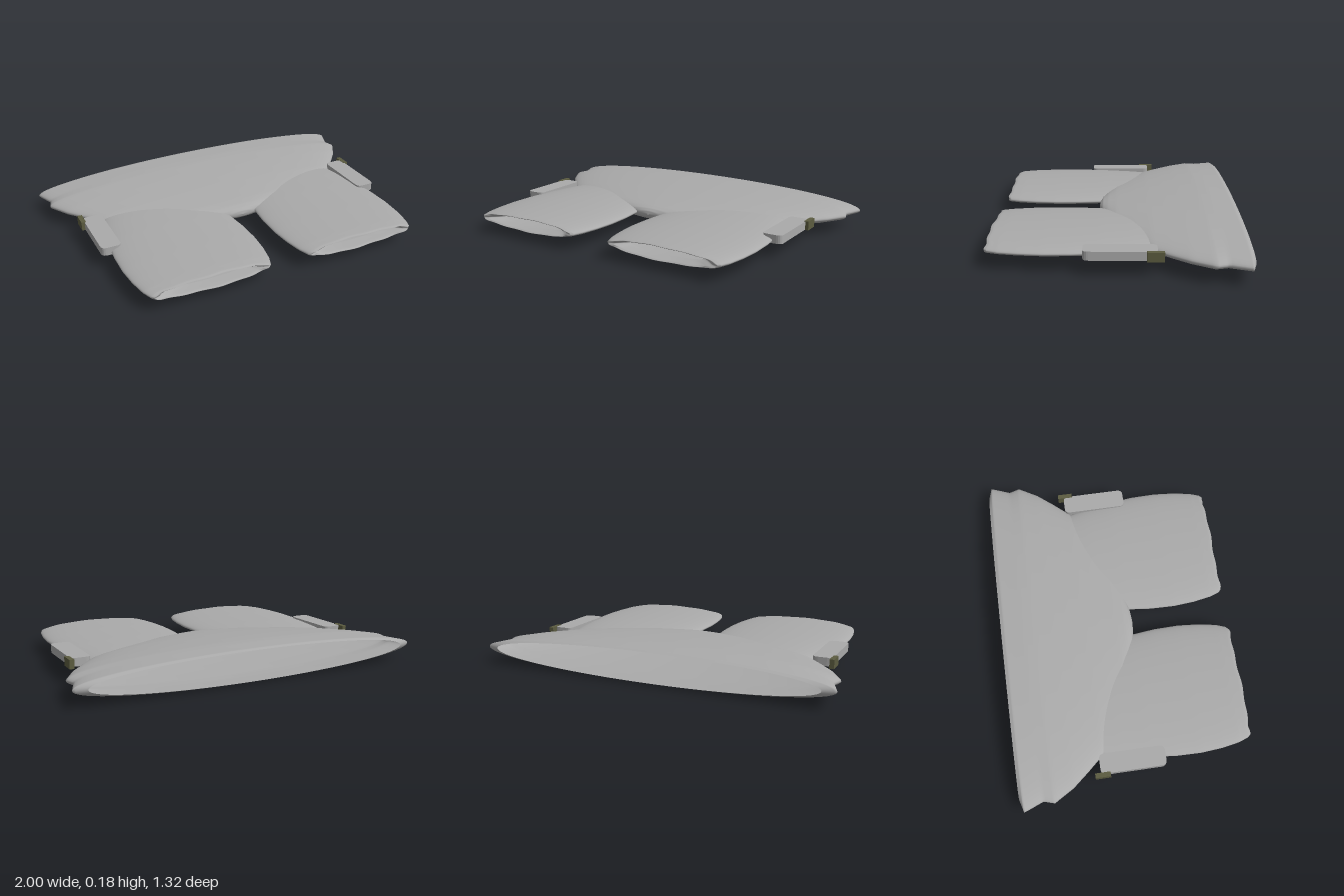
import * as THREE from 'three';

const SIDES = 80;
const MID_Y = 0.094;

// Open tube through elliptical sections [z, centreX, halfWidth, halfHeight], smoothed along its length
function loft(sections, { steps = 5, ripple = null, skip = null } = {}) {
  const rows = [];
  const lerp = THREE.MathUtils.lerp;
  for (let i = 0; i < sections.length - 1; i++) {
    for (let s = 0; s < steps; s++) {
      rows.push(sections[i].map((v, k) => lerp(v, sections[i + 1][k], s / steps)));
    }
  }
  rows.push(sections[sections.length - 1]);

  const pos = [];
  for (const [z, cx, w, h] of rows) {
    for (let j = 0; j < SIDES; j++) {
      const a = (j / SIDES) * Math.PI * 2;
      const x = cx + w * Math.cos(a);
      pos.push(x, MID_Y + h * Math.sin(a), z + (ripple ? ripple(z, a) : 0));
    }
  }
  const index = [];
  for (let i = 0; i < rows.length - 1; i++) {
    for (let j = 0; j < SIDES; j++) {
      const a = i * SIDES + j;
      const b = i * SIDES + (j + 1) % SIDES;
      const c = a + SIDES;
      const d = b + SIDES;
      const x = (pos[a * 3] + pos[d * 3]) / 2;
      const y = (pos[a * 3 + 1] + pos[d * 3 + 1]) / 2;
      if (skip && skip(x, y, rows[i][0])) continue;
      index.push(a, b, c, b, d, c);
    }
  }
  const geo = new THREE.BufferGeometry();
  geo.setAttribute('position', new THREE.Float32BufferAttribute(pos, 3));
  geo.setIndex(index);
  geo.computeVertexNormals();
  return geo;
}

// Flat panel with rounded corners in plan
function roundedPanel(w, d, h, r) {
  const x = w / 2, y = d / 2;
  const s = new THREE.Shape();
  s.moveTo(-x + r, -y);
  s.lineTo(x - r, -y);
  s.quadraticCurveTo(x, -y, x, -y + r);
  s.lineTo(x, y - r);
  s.quadraticCurveTo(x, y, x - r, y);
  s.lineTo(-x + r, y);
  s.quadraticCurveTo(-x, y, -x, y - r);
  s.lineTo(-x, -y + r);
  s.quadraticCurveTo(-x, -y, -x + r, -y);
  const geo = new THREE.ExtrudeGeometry(s, { depth: h, bevelEnabled: false, curveSegments: 5 });
  geo.translate(0, 0, -h / 2);
  geo.rotateX(-Math.PI / 2);
  return geo;
}

export function createModel() {
  const model = new THREE.Group();
  model.name = 'shorts';

  const cloth = new THREE.MeshStandardMaterial({ color: 0xaaaaaa, side: THREE.DoubleSide });
  cloth.name = 'grey cloth';
  const olive = new THREE.MeshStandardMaterial({ color: 0x5c5c40 });
  olive.name = 'dark olive';

  const add = (name, geo, mat, x = 0, y = 0, z = 0) => {
    const mesh = new THREE.Mesh(geo, mat);
    mesh.name = name;
    mesh.position.set(x, y, z);
    model.add(mesh);
  };

  // Hips: open at the waist, with an opening into each leg
  const hips = [
    [-0.66, 0, 0.93, 0.082], [-0.64, 0, 1.0, 0.089], [-0.60, 0, 0.985, 0.09],
    [-0.53, 0, 0.957, 0.092], [-0.47, 0, 0.975, 0.091], [-0.36, 0, 0.91, 0.084],
    [-0.27, 0, 0.835, 0.077], [-0.18, 0, 0.755, 0.069], [-0.10, 0, 0.64, 0.06],
    [0.0, 0, 0.46, 0.048], [0.05, 0, 0.27, 0.04], [0.08, 0, 0.15, 0.031],
    [0.095, 0, 0.07, 0.018], [0.1, 0, 0.005, 0.002],
  ];
  const legOpening = (x, y, z) =>
    z > -0.3 && ((Math.abs(x) - 0.43) / 0.18) ** 2 + ((y - MID_Y) / 0.026) ** 2 < 1;
  add('hips', loft(hips, { skip: legOpening }), cloth);

  // Legs: tubes with a rippled hem turned inwards
  const leg = [
    [-0.20, 0.43, 0.31, 0.04], [-0.08, 0.435, 0.335, 0.043], [0.08, 0.44, 0.36, 0.045],
    [0.22, 0.44, 0.375, 0.045], [0.36, 0.44, 0.378, 0.045], [0.48, 0.44, 0.368, 0.044],
    [0.58, 0.44, 0.35, 0.043], [0.635, 0.44, 0.33, 0.041], [0.65, 0.44, 0.315, 0.037],
    [0.64, 0.44, 0.285, 0.031], [0.58, 0.435, 0.22, 0.025],
  ];
  const hemRipple = (z, a) => (z > 0.6 ? 0.006 * Math.sin(7 * a + 1) * Math.sin(3 * a) : 0);

  for (const side of [1, -1]) {
    const label = side > 0 ? 'left' : 'right';
    const sections = leg.map(([z, cx, w, h]) => [z, side * cx, w, h]);
    add(`${label}Leg`, loft(sections, { ripple: (z, a) => hemRipple(z, side > 0 ? a : Math.PI - a) }), cloth);

    // Side panel and its small fastening
    add(`${label}SidePanel`, roundedPanel(0.11, 0.365, 0.046, 0.03), cloth, side * 0.805, 0.104, -0.02);
    add(`${label}Fastening`, new THREE.BoxGeometry(0.026, 0.05, 0.085), olive, side * 0.865, 0.104, -0.192);
  }
  return model;
}
